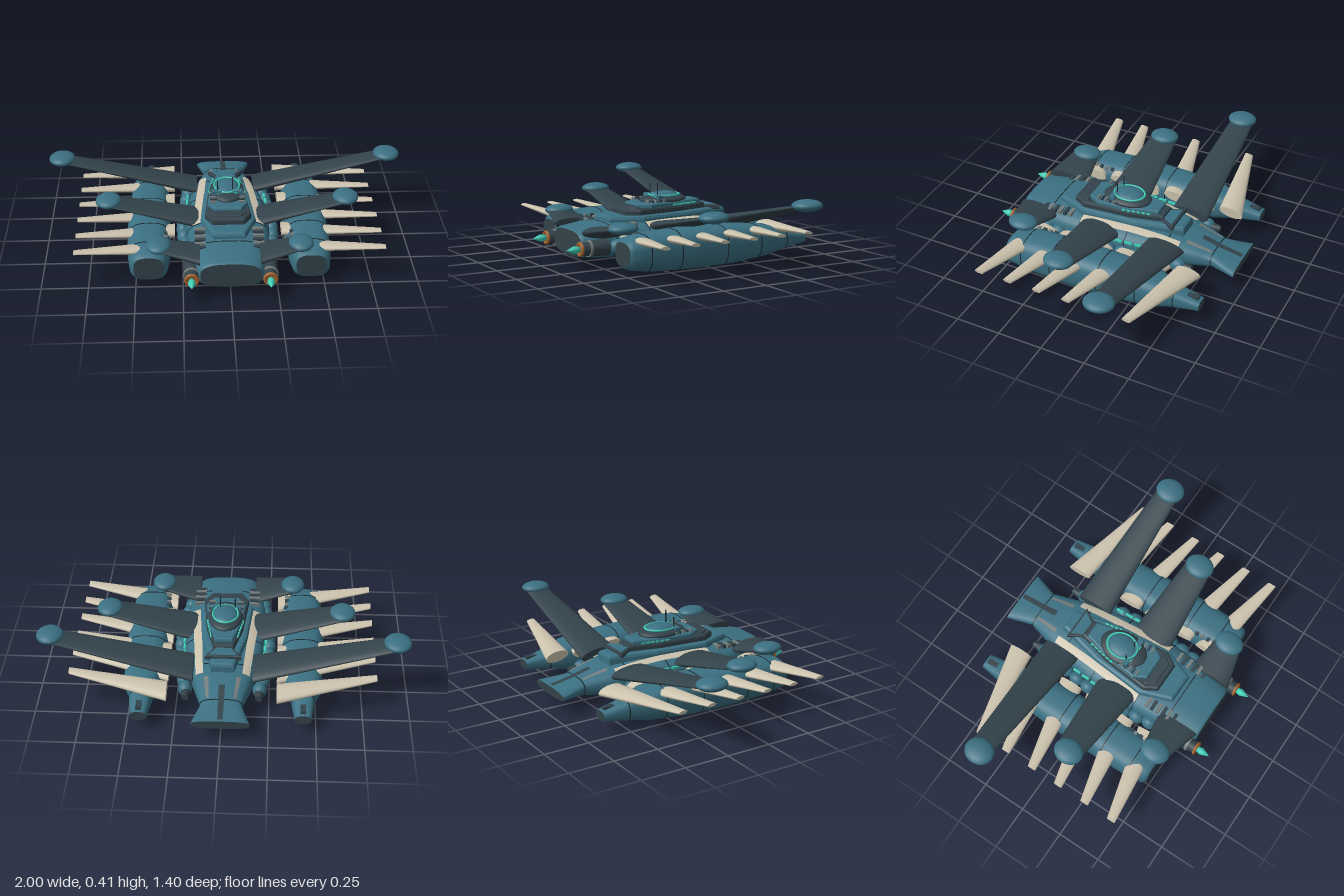
import * as THREE from 'three';

const mat = (name, color) => Object.assign(new THREE.MeshStandardMaterial({ color }), { name });

// Skin through rings of points; each ring runs counter-clockwise seen from the first end
function loft(rings) {
  const n = rings[0].length, m = rings.length, pos = [], idx = [];
  rings.forEach(r => r.forEach(p => pos.push(...p)));
  for (let i = 0; i < m - 1; i++) for (let j = 0; j < n; j++) {
    const a = i * n + j, b = i * n + (j + 1) % n;
    idx.push(a, a + n, b, b, a + n, b + n);
  }
  const sides = idx.length;
  [rings[0], rings[m - 1]].forEach((r, end) => {
    const base = pos.length / 3;
    r.forEach(p => pos.push(...p));
    for (let j = 1; j < n - 1; j++) idx.push(base, base + j + (end ? 1 : 0), base + j + (end ? 0 : 1));
  });
  const g = new THREE.BufferGeometry();
  g.setAttribute('position', new THREE.Float32BufferAttribute(pos, 3));
  g.setIndex(idx);
  g.addGroup(0, sides, 0);
  g.addGroup(sides, idx.length - sides, 1);
  g.computeVertexNormals();
  return g;
}

const sgnPow = (v, e) => Math.sign(v) * Math.abs(v) ** e;
const POWER = 2.8;

// Rounded-box section [z, half width, bottom, top] around x = cx
function section([z, w, y0, y1], cx, n = 40) {
  return Array.from({ length: n }, (_, j) => {
    const a = j / n * Math.PI * 2;
    return [cx + w * sgnPow(Math.cos(a), 2 / POWER),
      (y0 + y1) / 2 + (y1 - y0) / 2 * sgnPow(Math.sin(a), 2 / POWER), z];
  });
}

// Interpolated section of a body at z
function sectionAt(body, z) {
  const i = Math.max(1, body.findIndex(s => s[0] <= z));
  const a = body[i - 1], b = body[i], t = (z - a[0]) / (b[0] - a[0]);
  return a.map((v, k) => v + (b[k] - v) * t);
}

// Wing-like blade from tip to root, stations [x, y, zBack, zFront, half thickness]
function blade(stations, n = 20) {
  return loft(stations.map(([x, y, z0, z1, h]) => Array.from({ length: n }, (_, j) => {
    const a = j / n * Math.PI * 2, c = Math.cos(a);
    return [x, y + h * Math.sin(a) - 0.25 * h * c, (z0 + z1) / 2 - (z1 - z0) / 2 * c];
  })));
}

// Bevelled deck plate from a half outline [z, half width]
function plate(outline, y0, y1, bevel) {
  const pts = [...outline.map(([z, w]) => [w - bevel, -z]), ...outline.slice().reverse().map(([z, w]) => [bevel - w, -z])];
  const g = new THREE.ExtrudeGeometry(new THREE.Shape(pts.map(p => new THREE.Vector2(...p))), {
    depth: y1 - y0 - bevel, bevelEnabled: true, bevelSize: bevel, bevelThickness: bevel, bevelSegments: 2 });
  return g.rotateX(-Math.PI / 2).translate(0, y0, 0);
}

export function createModel() {
  const teal = mat('teal hull', 0x3b7082), dark = mat('dark slate', 0x33434b), cream = mat('bone', 0xcbc2ad),
    cyan = mat('cyan glow', 0x3fcdb4), copper = mat('copper', 0xa0622f), grey = mat('grey metal', 0x747b7b),
    black = mat('seam black', 0x1d2a30);
  const model = new THREE.Group();
  const add = (name, geo, material) => {
    const m = new THREE.Mesh(geo, material);
    m.name = name;
    model.add(m);
  };
  // Part built on +x, plus its mirror image
  const pair = (name, geo, material) => {
    add(name + 'Left', geo, material);
    const g = geo.clone().scale(-1, 1, 1), ix = g.index || null;
    if (ix) for (let i = 0; i < ix.count; i += 3) {
      const t = ix.getX(i);
      ix.setX(i, ix.getX(i + 2));
      ix.setX(i + 2, t);
    }
    add(name + 'Right', g, material);
  };
  const box = (w, h, d, x, y, z) => new THREE.BoxGeometry(w, h, d).translate(x, y, z);
  const ball = (rx, ry, rz, x, y, z) => new THREE.SphereGeometry(1, 28, 18).scale(rx, ry, rz).translate(x, y, z);
  const tubeZ = (r0, r1, zFront, zBack, x, y) => new THREE.CylinderGeometry(r0, r1, zFront - zBack, 24)
    .rotateX(Math.PI / 2).translate(x, y, (zFront + zBack) / 2);
  const seam = (body, z, cx) => loft([0.0025, -0.0025].map(d => {
    const [, w, y0, y1] = sectionAt(body, z);
    return section([z + d, w + 0.002, y0 - 0.002, y1 + 0.002], cx);
  }));

  // Central hull with flared tail
  const hull = [[0.59, 0.16, 0.055, 0.19], [0.575, 0.175, 0.045, 0.2], [0.45, 0.2, 0.035, 0.215], [0.3, 0.22, 0.027, 0.225],
    [0.1, 0.23, 0.022, 0.228], [-0.1, 0.22, 0.025, 0.225], [-0.25, 0.195, 0.032, 0.215], [-0.4, 0.155, 0.045, 0.195],
    [-0.5, 0.125, 0.058, 0.172], [-0.56, 0.11, 0.068, 0.155], [-0.7, 0.155, 0.083, 0.13]];
  add('hull', loft(hull.map(s => section(s, 0))), [teal, dark]);
  [0.4, 0.2, -0.08, -0.3, -0.55].forEach(z => add('hullSeam', seam(hull, z, 0), black));

  // Painted strip following the upper hull, ends [z, inner x, outer x]
  const topAt = (x, z) => {
    const [, w, y0, y1] = sectionAt(hull, z);
    return (y0 + y1) / 2 + (y1 - y0) / 2 * (1 - Math.min(0.98, Math.abs(x) / w) ** POWER) ** (1 / POWER);
  };
  const strip = ([za, a0, a1], [zb, b0, b1], rows = 16, cols = 4) => {
    const g = new THREE.PlaneGeometry(1, 1, cols, rows).rotateX(-Math.PI / 2), p = g.attributes.position;
    for (let i = 0; i < p.count; i++) {
      const u = p.getX(i) + 0.5, t = 0.5 - p.getZ(i), z = za + (zb - za) * t;
      const x = (a0 + (b0 - a0) * t) * (1 - u) + (a1 + (b1 - a1) * t) * u;
      p.setXYZ(i, x, topAt(x, z) + 0.005, z);
    }
    g.computeVertexNormals();
    return g;
  };
  pair('boneStripe', strip([0.2, 0.145, 0.195], [-0.37, 0.105, 0.145]), cream);
  pair('tailStripe', strip([-0.4, 0.075, 0.1], [-0.54, 0.065, 0.08]), grey);
  add('tailSpine', strip([-0.46, -0.017, 0.017], [-0.69, -0.014, 0.014]), dark);

  // Stepped slats beside the foredeck
  for (let i = 0; i < 6; i++) {
    const z = 0.27 + i * 0.033;
    pair('slat', box(0.06, 0.02, 0.018, 0.155, topAt(0.165, z) + 0.006, z), i % 2 ? dark : grey);
  }

  // Side nacelles
  const nacelle = [[0.49, 0.08, 0.05, 0.175], [0.47, 0.1, 0.032, 0.197], [0.35, 0.115, 0.015, 0.215], [0.1, 0.12, 0.006, 0.225],
    [-0.15, 0.115, 0.01, 0.22], [-0.38, 0.1, 0.032, 0.2], [-0.47, 0.065, 0.048, 0.17], [-0.64, 0.043, 0.078, 0.13]];
  pair('nacelle', loft(nacelle.map(s => section(s, 0.43))), [teal, dark]);
  [0.38, 0.2, -0.08, -0.3, -0.5].forEach(z => pair('nacelleSeam', seam(nacelle, z, 0.43), black));
  pair('nacelleTailVent', box(0.03, 0.02, 0.1, 0.43, 0.138, -0.575), dark);
  for (let i = 0; i < 5; i++) pair('nacelleSlat', box(0.05, 0.02, 0.02, 0.355, 0.192, 0.27 + i * 0.035), i % 2 ? grey : dark);

  // Six bone fins on each side
  for (let i = 0; i < 6; i++) {
    const z = 0.49 - i * 0.172;
    pair('fin', blade([[0.82, 0.205, z - 0.05, z, 0.009], [0.55, 0.184, z - 0.125, z - 0.03, 0.02],
      [0.29, 0.165, z - 0.2, z - 0.06, 0.03]]), [cream, cream]);
  }

  // Three swept masts per side, each with a flattened pod
  [[0.925, 0.37, -0.37, -0.24, -0.415, -0.2, 0.073, -0.3], [0.65, 0.3, 0, 0.155, -0.045, 0.195, 0.07, 0.08],
    [0.375, 0.235, 0.38, 0.53, 0.345, 0.585, 0.066, 0.455]].forEach(([x, y, t0, t1, r0, r1, rx, z]) => {
    pair('mast', blade([[x, y - 0.005, t0, t1, 0.013], [0.16, 0.183, r0, r1, 0.035]]), [dark, dark]);
    pair('mastPod', ball(rx, 0.031, 0.083, x, y, z), teal);
  });

  // Bead chains along the hull flanks
  for (let i = 0; i < 12; i++) {
    const z = 0.48 - i * 0.08, x = 0.2 + 0.045 * Math.sin(Math.PI * i / 11);
    pair('bead', ball(0.038, 0.042, 0.046, x, 0.11, z), teal);
  }
  pair('beadTail', tubeZ(0.03, 0.018, -0.4, -0.48, 0.197, 0.11), dark);
  for (let i = 0; i < 4; i++) pair('flankLight', box(0.012, 0.012, 0.045, 0.217 + 0.004 * i, 0.175, -0.17 + i * 0.06), cyan);

  // Forward engines
  pair('engineBody', tubeZ(0.04, 0.046, 0.56, 0.46, 0.205, 0.115), dark);
  pair('engineCollar', tubeZ(0.044, 0.044, 0.575, 0.56, 0.205, 0.115), grey);
  pair('engineNeck', tubeZ(0.035, 0.038, 0.61, 0.575, 0.205, 0.115), dark);
  pair('engineRing', new THREE.TorusGeometry(0.031, 0.009, 10, 28).translate(0.205, 0.115, 0.618), copper);
  pair('engineBore', tubeZ(0.03, 0.03, 0.622, 0.6, 0.205, 0.115), copper);
  pair('engineTip', new THREE.LatheGeometry([[0, 0], [0.014, 0], [0.021, 0.03], [0.012, 0.055], [0, 0.08]]
    .map(p => new THREE.Vector2(...p)), 20).rotateX(Math.PI / 2).translate(0.205, 0.115, 0.62), cyan);

  // Stacked superstructure
  add('lowerDeck', plate([[0.36, 0.09], [0.2, 0.15], [-0.1, 0.125], [-0.35, 0.065]], 0.2, 0.25, 0.018), teal);
  add('middleDeck', plate([[0.27, 0.09], [0.21, 0.125], [-0.05, 0.1], [-0.23, 0.055]], 0.25, 0.283, 0.012), dark);
  add('upperDeck', plate([[0.19, 0.075], [0.13, 0.11], [-0.05, 0.09], [-0.2, 0.05]], 0.28, 0.305, 0.01), teal);
  add('foreStep', plate([[0.25, 0.07], [0.21, 0.1], [0.2, 0.1]], 0.28, 0.29, 0.006), dark);
  add('deckTail', plate([[-0.2, 0.05], [-0.24, 0.055], [-0.31, 0.098]], 0.245, 0.265, 0.006), dark);
  add('deckTailPanel', plate([[-0.21, 0.035], [-0.24, 0.04], [-0.3, 0.075]], 0.262, 0.27, 0.003), teal);
  add('bridgeBase', ball(0.095, 0.03, 0.14, 0, 0.31, 0.0), dark);
  add('bridgeGlow', new THREE.TorusGeometry(0.07, 0.005, 8, 40).rotateX(Math.PI / 2).scale(1, 1, 1.25).translate(0, 0.336, -0.01), cyan);
  add('bridgeDome', ball(0.068, 0.027, 0.085, 0, 0.328, -0.01), teal);
  add('bridgeVisor', box(0.17, 0.03, 0.03, 0, 0.325, 0.06), teal);
  add('bridgeWindow', box(0.11, 0.01, 0.006, 0, 0.328, 0.077), cyan);
  for (let i = 0; i < 6; i++) {
    const z = 0.02 + i * 0.024;
    pair('deckRib', box(0.035, 0.012, 0.01, 0.078, 0.313, z), i % 2 ? grey : dark);
    pair('deckLight', box(0.008, 0.008, 0.02, 0.098 - 0.005 * i, 0.288, -0.02 - i * 0.028), cyan);
  }

  // Antennas
  add('antennaLeft', new THREE.CylinderGeometry(0.003, 0.004, 0.09, 8).translate(0.03, 0.37, 0.05), black);
  add('antennaRight', new THREE.CylinderGeometry(0.003, 0.004, 0.07, 8).translate(-0.052, 0.36, 0.05), black);
  add('antennaTip', ball(0.005, 0.009, 0.005, 0.03, 0.405, 0.05), dark);
  return model;
}
